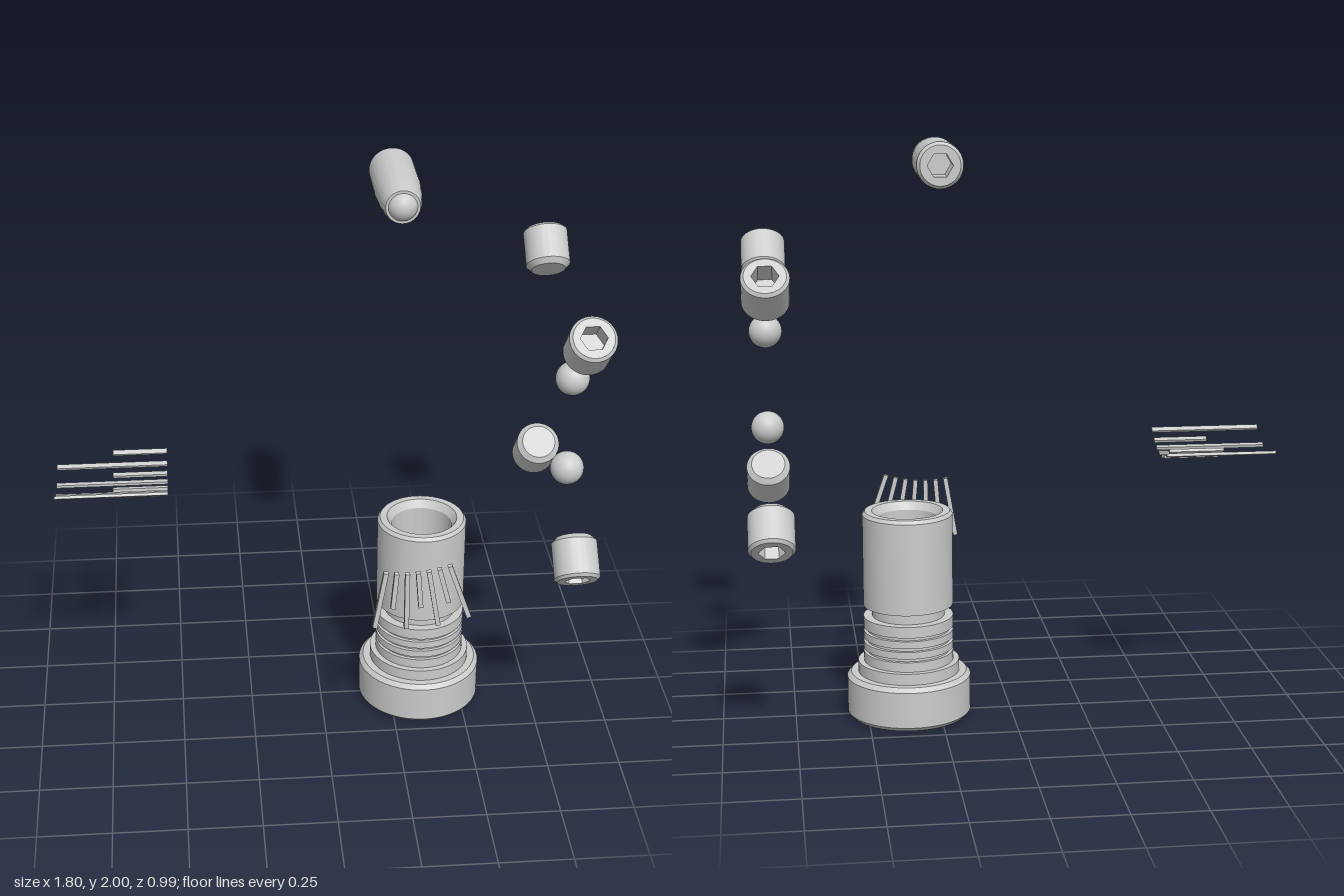
import * as THREE from 'three';
import { toCreasedNormals } from 'three/addons/utils/BufferGeometryUtils.js';

const material = new THREE.MeshStandardMaterial({ color: 0xcccccc });

function part(name, geometry, parent) {
  const mesh = new THREE.Mesh(geometry, material);
  mesh.name = name;
  parent.add(mesh);
  return mesh;
}

// Turned solid from [radius, height] pairs, running up the outside
function turned(profile, segments = 64) {
  const points = profile.map(([r, y]) => new THREE.Vector2(r, y));
  return toCreasedNormals(new THREE.LatheGeometry(points, segments), 0.45);
}

// Round end face with a hexagonal recess, opening towards +y at y = 0
function hexSocket(radius, hexRadius, depth) {
  const group = new THREE.Group();
  group.name = 'hexSocket';
  const face = new THREE.Shape().absarc(0, 0, radius, 0, Math.PI * 2, false);
  const corners = [];
  for (let i = 0; i < 6; i++) {
    const a = i * Math.PI / 3;
    corners.push(new THREE.Vector2(Math.cos(a) * hexRadius, Math.sin(a) * hexRadius));
  }
  face.holes.push(new THREE.Path(corners));
  const rim = new THREE.ExtrudeGeometry(face, { depth, bevelEnabled: false, curveSegments: 32 });
  rim.rotateX(-Math.PI / 2).translate(0, -depth, 0);
  part('socketWalls', rim, group);
  const floor = new THREE.CircleGeometry(hexRadius, 6).rotateX(-Math.PI / 2);
  part('socketFloor', floor, group).position.y = -depth;
  return group;
}

// Flanged sleeve with seal grooves, stepped bore and underside recess
function makeSleeve() {
  const group = new THREE.Group();
  group.name = 'sleeve';
  const profile = [
    [0.105, 0.05], [0.105, 0], [0.2, 0], [0.214, 0.015], [0.214, 0.14],
    [0.2, 0.155], [0.175, 0.155], [0.175, 0.195], [0.155, 0.195],
  ];
  for (const y of [0.235, 0.272, 0.31]) {
    profile.push([0.155, y - 0.006], [0.143, y - 0.006], [0.143, y + 0.006], [0.155, y + 0.006]);
  }
  profile.push(
    [0.155, 0.355], [0.125, 0.355], [0.125, 0.395], [0.155, 0.395],
    [0.155, 0.715], [0.146, 0.727], [0.122, 0.727], [0.105, 0.7],
    [0.105, 0.3], [0.06, 0.3], [0.06, 0.17], [0, 0.17],
  );
  part('sleeveBody', turned(profile, 80), group);
  const socket = hexSocket(0.105, 0.058, 0.06);
  socket.rotation.x = Math.PI;
  socket.position.y = 0.05;
  group.add(socket);
  return group;
}

// Short set screw, socket towards local +y
function makeSetScrew() {
  const group = new THREE.Group();
  group.name = 'setScrew';
  const r = 0.077, h = 0.075, c = 0.018;
  part('screwBody', turned([[0, -h], [r - c, -h], [r, c - h], [r, h - 0.01], [r - 0.01, h]], 48), group);
  const socket = hexSocket(r - 0.01, 0.044, 0.07);
  socket.position.y = h;
  group.add(socket);
  return group;
}

// Spring plunger with a ball nose at local -y and a socket at +y
function makePlunger() {
  const group = new THREE.Group();
  group.name = 'plunger';
  part('plungerBody', turned([
    [0, -0.1], [0.056, -0.1], [0.063, -0.075], [0.071, -0.01], [0.076, 0.055],
    [0.076, 0.238], [0.066, 0.25],
  ]), group);
  part('noseBall', new THREE.SphereGeometry(0.051, 32, 20), group).position.y = -0.081;
  const socket = hexSocket(0.066, 0.042, 0.08);
  socket.position.y = 0.25;
  group.add(socket);
  return group;
}

// Flat scale: tick marks fanning out from a centre above
function makeFanScale() {
  const group = new THREE.Group();
  group.name = 'fanScale';
  for (let i = 0; i < 7; i++) {
    const arm = new THREE.Group();
    arm.name = 'fanTick';
    arm.rotation.z = THREE.MathUtils.degToRad(-9.5 + i * 4.75);
    const length = i % 2 ? 0.135 : 0.215;
    part('tick', new THREE.BoxGeometry(0.016, length, 0.018), arm).position.y = -0.435 - length / 2;
    group.add(arm);
  }
  return group;
}

// Curved scale: long and short ticks on the underside of an arc about the x axis
function makeArcScale() {
  const group = new THREE.Group();
  group.name = 'arcScale';
  const radius = 0.27;
  for (let i = 0; i < 8; i++) {
    const z = 0.161 - i * 0.0447;
    const length = i % 2 ? 0.187 : 0.38;
    const tick = part('tick', new THREE.BoxGeometry(length, 0.01, 0.018), group);
    tick.position.set(-length / 2, -Math.sqrt(radius * radius - z * z), z);
    tick.rotation.x = -Math.asin(z / radius);
  }
  return group;
}

export function createModel() {
  const model = new THREE.Group();
  model.name = 'explodedFittings';

  const sleeve = makeSleeve();
  sleeve.position.x = 0.355;
  model.add(sleeve);

  const plunger = makePlunger();
  plunger.rotation.x = -Math.PI / 2;
  plunger.position.set(0.255, 1.925, 0);
  model.add(plunger);

  // Four set screws around a circle, sockets facing outwards
  for (const sy of [1, -1]) {
    for (const sz of [1, -1]) {
      const screw = makeSetScrew();
      screw.rotation.x = Math.atan2(sz, sy);
      screw.position.set(0.822, 1.162 + sy * 0.393, sz * 0.393);
      model.add(screw);
    }
  }

  // Detent balls
  for (const y of [1.33, 0.993]) {
    part('detentBall', new THREE.SphereGeometry(0.057, 40, 24), model).position.set(0.822, y, 0.166);
  }

  const fan = makeFanScale();
  fan.position.set(0.26, 1.17, 0.385);
  model.add(fan);

  const arc = makeArcScale();
  arc.position.set(-0.525, 1.165, 0);
  model.add(arc);

  return model;
}
